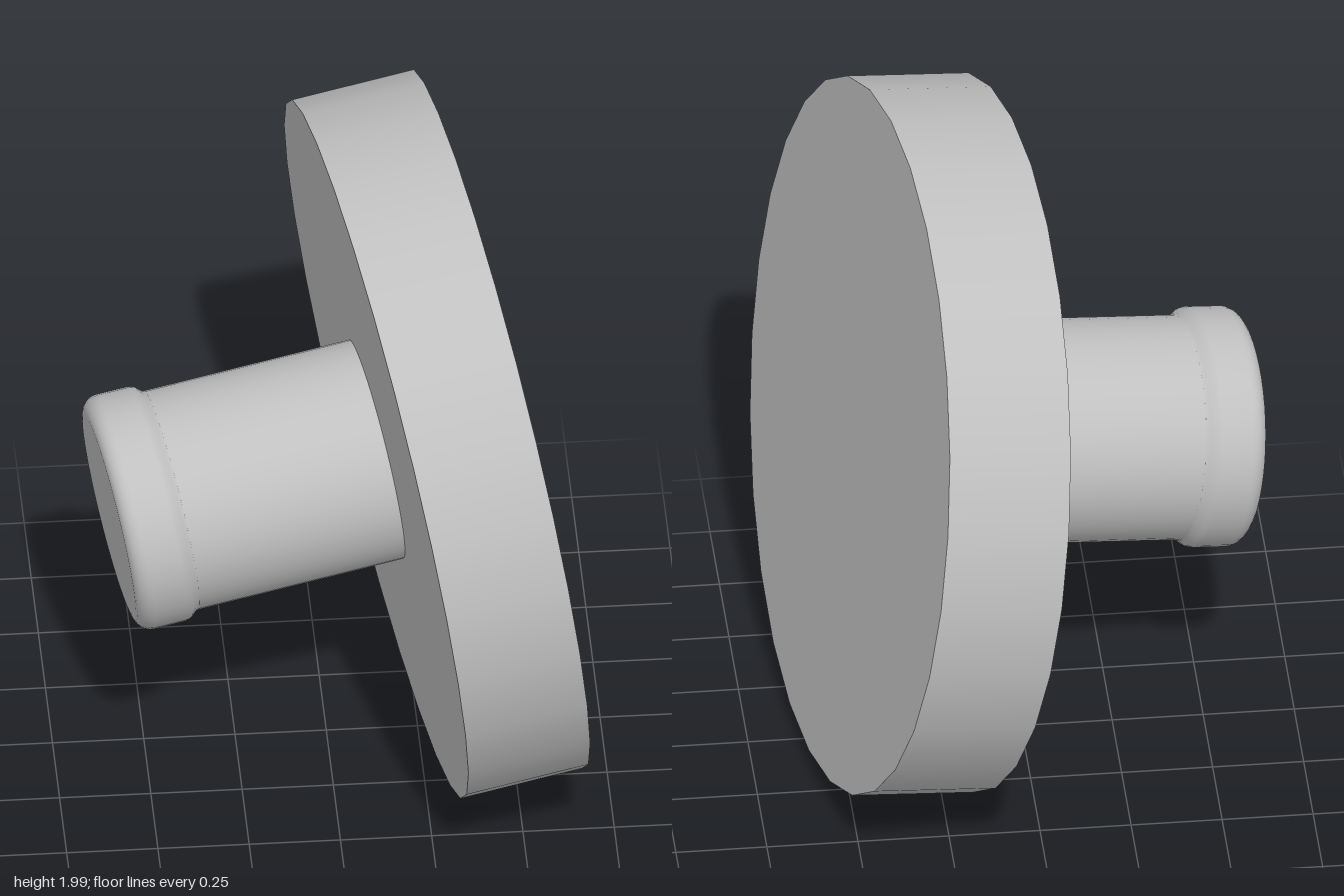
import * as THREE from 'three';

export function createModel() {
  const grey = new THREE.MeshStandardMaterial({ color: 0xc0c0c0 });
  grey.name = 'plain grey';

  // Everything turns about one tilted axis; local y = 0 is the disc's inner face
  const knob = new THREE.Group();
  knob.name = 'knob';
  const axis = new THREE.Vector3(0.98, 0.139, -0.139).normalize();
  knob.quaternion.setFromUnitVectors(new THREE.Vector3(0, 1, 0), axis);
  knob.position.set(0.135, 0.975, 0.025);

  const add = (name, geometry, y = 0) => {
    const mesh = new THREE.Mesh(geometry, grey);
    mesh.name = name;
    mesh.position.y = y;
    knob.add(mesh);
  };

  // Broad disc
  const thickness = 0.344;
  add('disc', new THREE.CylinderGeometry(0.985, 0.985, thickness, 28), thickness / 2);

  // Stem
  const shaftRadius = 0.308;
  const lipStart = -0.58;
  add('stem', new THREE.CylinderGeometry(shaftRadius, shaftRadius, -lipStart, 48, 1, true), lipStart / 2);

  // Rounded lip at the end of the stem
  const end = -0.755, lipRadius = 0.33, round = 0.045;
  const profile = [];
  for (let i = 0; i <= 6; i++) {
    const a = (i / 6) * Math.PI / 2;
    profile.push(new THREE.Vector2(
      lipRadius - round + round * Math.sin(a),
      end + round - round * Math.cos(a)));
  }
  profile.push(
    new THREE.Vector2(lipRadius, -0.62),
    new THREE.Vector2(lipRadius - 0.004, -0.605),
    new THREE.Vector2(shaftRadius + 0.004, -0.59),
    new THREE.Vector2(shaftRadius, lipStart));
  add('lip', new THREE.LatheGeometry(profile, 48));

  // Flat end face
  const cap = new THREE.CircleGeometry(lipRadius - round, 48);
  cap.rotateX(Math.PI / 2);
  add('endFace', cap, end);

  const model = new THREE.Group();
  model.name = 'model';
  model.add(knob);
  return model;
}
